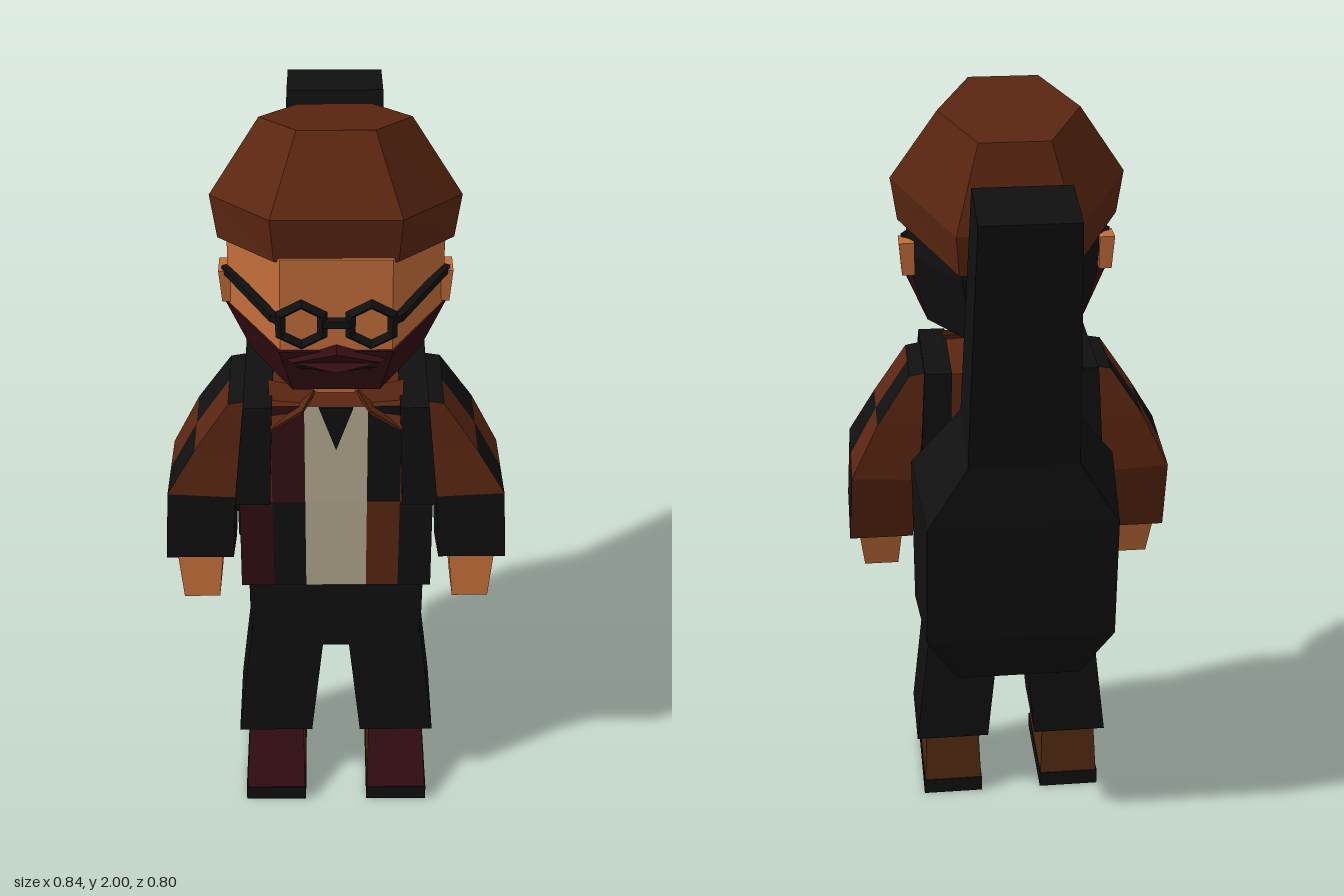
import * as THREE from 'three';

const colours = { rust: 0x5a2611, black: 0x101010, skin: 0xc26d39, maroon: 0x320d12, cream: 0xb5aa90, bootBrown: 0x50290f };

export function createModel() {
  const model = new THREE.Group();
  const mats = {};
  for (const [name, color] of Object.entries(colours)) {
    mats[name] = new THREE.MeshStandardMaterial({ color });
    mats[name].name = name;
  }
  const names = Object.keys(mats), list = Object.values(mats);

  const add = (name, geo, mat) => {
    const mesh = new THREE.Mesh(geo, mat);
    mesh.name = name;
    model.add(mesh);
    return mesh;
  };

  // Closed faceted solid through cross-sections; pick(row, side) names the colour of each cell.
  function loft(name, rings, pick, capBottom, capTop) {
    const colourOf = typeof pick === 'string' ? () => pick : pick;
    const faces = [];
    const n = rings[0].length, last = rings.length - 1;
    for (let r = 0; r < last; r++) {
      for (let i = 0; i < n; i++) {
        const j = (i + 1) % n, c = colourOf(r, i);
        const [a, b, d, e] = [rings[r][i], rings[r][j], rings[r + 1][j], rings[r + 1][i]];
        faces.push([a, b, d, c], [a, d, e, c]);
      }
    }
    for (let i = 1; i < n - 1; i++) {
      faces.push([rings[0][0], rings[0][i + 1], rings[0][i], capBottom || colourOf(0, 0)]);
      faces.push([rings[last][0], rings[last][i], rings[last][i + 1], capTop || colourOf(last - 1, 0)]);
    }
    // A negative volume means the corners run the wrong way round
    let volume = 0;
    const v = (p) => new THREE.Vector3(...p);
    for (const [a, b, c] of faces) volume += v(a).dot(v(b).cross(v(c)));
    const pos = [];
    const geo = new THREE.BufferGeometry();
    faces.forEach(([a, b, c, col], k) => {
      pos.push(...a, ...(volume < 0 ? c : b), ...(volume < 0 ? b : c));
      geo.addGroup(k * 3, 3, names.indexOf(col));
    });
    geo.setAttribute('position', new THREE.Float32BufferAttribute(pos, 3));
    geo.computeVertexNormals();
    if (typeof pick === 'string' && !capBottom && !capTop) {
      geo.clearGroups();
      return add(name, geo, mats[pick]);
    }
    return add(name, geo, list);
  }

  // Level rectangle; yBack tilts it
  const rect = (x0, x1, z0, z1, y, yBack = y) => [[x0, y, z1], [x1, y, z1], [x1, yBack, z0], [x0, yBack, z0]];
  // Thin solid from an outline, thickened along z
  const plate = (name, pts, t, mat) => loft(name, [pts, pts.map(([x, y, z]) => [x, y, z + t])], mat);
  // Square bar between two points
  function bar(name, a, b, t, mat) {
    const p = new THREE.Vector3(...a), q = new THREE.Vector3(...b);
    const mesh = add(name, new THREE.BoxGeometry(t, t, p.distanceTo(q)), mats[mat]);
    mesh.position.copy(p).add(q).multiplyScalar(0.5);
    mesh.lookAt(q);
  }

  // Beret of tilted hexagons
  const hex = (w, zf, yf, zb, yb) => {
    const zm = (zf + zb) / 2, ym = (yf + yb) / 2;
    return [[w / 2, yf, zf], [-w / 2, yf, zf], [-w, ym, zm], [-w / 2, yb, zb], [w / 2, yb, zb], [w, ym, zm]];
  };
  loft('beret', [hex(0.27, 0.345, 1.75, -0.095, 1.61), hex(0.285, 0.357, 1.86, -0.118, 1.715), hex(0.17, 0.22, 2, -0.06, 1.92)], 'rust');

  // Head: face and beard in front, hair behind
  const half = (w, z, y) => [[w, y, 0.16], [w / 2, y, z], [-w / 2, y, z], [-w, y, 0.16]];
  loft('face', [half(0.25, 0.36, 1.53), half(0.245, 0.353, 1.76)], 'skin');
  loft('beard', [half(0.2, 0.33, 1.4), half(0.255, 0.367, 1.53)], 'maroon');
  loft('hair', [half(0.2, 0, 1.4), half(0.25, -0.04, 1.58), half(0.245, -0.035, 1.72)], 'black');
  loft('neck', [1.28, 1.42].map((y) => hex(0.09, 0.22, y, 0.08, y)), 'skin');
  plate('mouth', [[-0.09, 1.49, 0.366], [0, 1.478, 0.366], [0.09, 1.49, 0.366], [0, 1.487, 0.366]], 0.006, 'black');
  loft('moustache', [
    [[-0.12, 1.505, 0.35], [0, 1.49, 0.35], [0.12, 1.505, 0.35], [0, 1.545, 0.35]],
    [[-0.1, 1.505, 0.375], [0, 1.495, 0.4], [0.1, 1.505, 0.375], [0, 1.54, 0.395]],
  ], 'maroon');

  // Spectacles
  bar('spectacleBridge', [-0.03, 1.615, 0.38], [0.03, 1.615, 0.38], 0.018, 'black');

  // Jacket with open front
  const jacketRing = (k, y, z1, z0) =>
    [0.235, 0.155, 0.075, -0.075, -0.155, -0.235].map((x) => [Math.abs(x) > 0.2 ? x * k : x, y, z1])
      .concat([[-0.235 * k, y, z0], [0.235 * k, y, z0]]);
  const jacketCells = [
    ['black', 'rust', 'cream', 'black', 'maroon', 'rust', 'rust', 'rust'],
    ['rust', 'black', 'cream', 'maroon', 'rust', 'black', 'rust', 'black'],
  ];
  loft('jacket', [jacketRing(1.01, 0.76, 0.29, 0.005), jacketRing(1, 1.03, 0.287, 0.005), jacketRing(0.92, 1.31, 0.275, 0.015)],
    (r, i) => jacketCells[r][i], 'black', 'rust');
  plate('undershirt', [[-0.04, 1.31, 0.278], [0, 1.19, 0.282], [0.04, 1.31, 0.278]], 0.006, 'black');

  // Trousers top
  loft('hips', [rect(-0.215, 0.215, 0.02, 0.255, 0.515), rect(-0.22, 0.22, 0.005, 0.262, 0.65), rect(-0.22, 0.22, 0.005, 0.262, 0.77)], 'black');

  // Instrument case worn on the back
  const caseRing = (w, zf, yf, zb, yb, wb = w) => [[-w, yf, zf], [w, yf, zf], [wb, yb, zb], [-wb, yb, zb]];
  loft('instrumentCase', [
    caseRing(0.18, 0, 0.55, -0.16, 0.52, 0.16),
    caseRing(0.258, 0, 0.68, -0.23, 0.68, 0.24),
    caseRing(0.258, 0, 1.08, -0.28, 1.03, 0.235),
    caseRing(0.135, -0.065, 1.25, -0.29, 1.2),
    caseRing(0.115, -0.23, 1.87, -0.4, 1.84),
  ], 'black');

  for (const s of [1, -1]) {
    const side = s > 0 ? 'left' : 'right';
    const flip = (ring) => ring.map(([x, y, z]) => [x * s, y, z]);

    // Ear and lens
    loft(side + 'Ear', [flip(rect(0.23, 0.262, 0.12, 0.17, 1.535)), flip(rect(0.23, 0.268, 0.115, 0.175, 1.62))], 'skin');
    const lens = add(side + 'Lens', new THREE.TorusGeometry(0.053, 0.013, 4, 6).toNonIndexed(), mats.black);
    lens.geometry.computeVertexNormals();
    lens.geometry.rotateZ(Math.PI / 6);
    lens.position.set(s * 0.077, 1.61, 0.378);
    bar(side + 'TempleFront', [s * 0.125, 1.62, 0.375], [s * 0.145, 1.62, 0.355], 0.018, 'black');
    bar(side + 'Temple', [s * 0.138, 1.62, 0.365], [s * 0.253, 1.62, 0.16], 0.018, 'black');

    // Collar flap
    loft(side + 'Collar', [
      flip([[0.05, 1.32, 0.24], [0.16, 1.33, 0.215], [0.155, 1.25, 0.295], [0.08, 1.3, 0.295]]),
      flip([[0.05, 1.335, 0.24], [0.16, 1.345, 0.215], [0.155, 1.26, 0.3], [0.08, 1.315, 0.3]]),
    ], 'rust');

    // Carrying strap: front, shoulder and back
    const strapTop = (z0, z1, y) => flip(rect(0.15, 0.218, z0, z1, y));
    loft(side + 'StrapFront', [flip(rect(0.16, 0.246, 0.27, 0.298, 1.03)), strapTop(0.265, 0.292, 1.318)], 'black');
    loft(side + 'StrapShoulder', [strapTop(0.005, 0.29, 1.3), strapTop(0.005, 0.29, 1.318)], 'black');
    loft(side + 'StrapBack', [flip(rect(0.16, 0.235, -0.005, 0.02, 1.03)), strapTop(0, 0.02, 1.318)], 'black');

    // Checked sleeve: outer front, outer middle, outer back, inner back, inner front
    const sleeveRing = (xi, yi, xo, yf, yb, zf, zb) => {
      const zm = (zf + zb) / 2, ym = (yf + yb) / 2;
      return flip([[xo, yf, zf], [xo, ym, zm], [xo, yb, zb], [xi, yb + yi, zb], [xi, yf + yi, zf]]);
    };
    const sleeveCells = [
      ['maroon', 'black', 'rust', 'black', 'black'],
      ['black', 'rust', 'rust', 'black', 'rust'],
      ['rust', 'black', 'rust', 'black', 'rust'],
    ];
    loft(side + 'Sleeve', [
      sleeveRing(0.255, 0, 0.422, 0.85, 0.79, 0.285, 0.13),
      sleeveRing(0.245, -0.01, 0.41, 1.045, 1.02, 0.275, 0.03),
      sleeveRing(0.22, 0, 0.34, 1.165, 1.165, 0.258, 0.035),
      sleeveRing(0.2, 0.01, 0.255, 1.295, 1.295, 0.245, 0.045),
    ], (r, i) => sleeveCells[r][i], 'rust', 'black');

    // Hand
    loft(side + 'Hand', [flip(rect(0.295, 0.385, 0.165, 0.275, 0.71, 0.69)), flip(rect(0.28, 0.4, 0.125, 0.255, 0.87, 0.83))], 'skin');

    // Leg and boot
    loft(side + 'Leg', [flip(rect(0.065, 0.262, 0.03, 0.256, 0.195)), flip(rect(0.03, 0.22, 0.022, 0.256, 0.56))], 'black');
    loft(side + 'Boot', [flip(rect(0.085, 0.243, 0.04, 0.33, 0.045)), flip(rect(0.09, 0.235, 0.055, 0.205, 0.2))],
      (r, i) => (i === 0 ? 'maroon' : 'bootBrown'));
    loft(side + 'Sole', [0, 0.045].map((y) => flip(rect(0.083, 0.246, 0.038, 0.333, y))), 'black');
  }
  return model;
}
